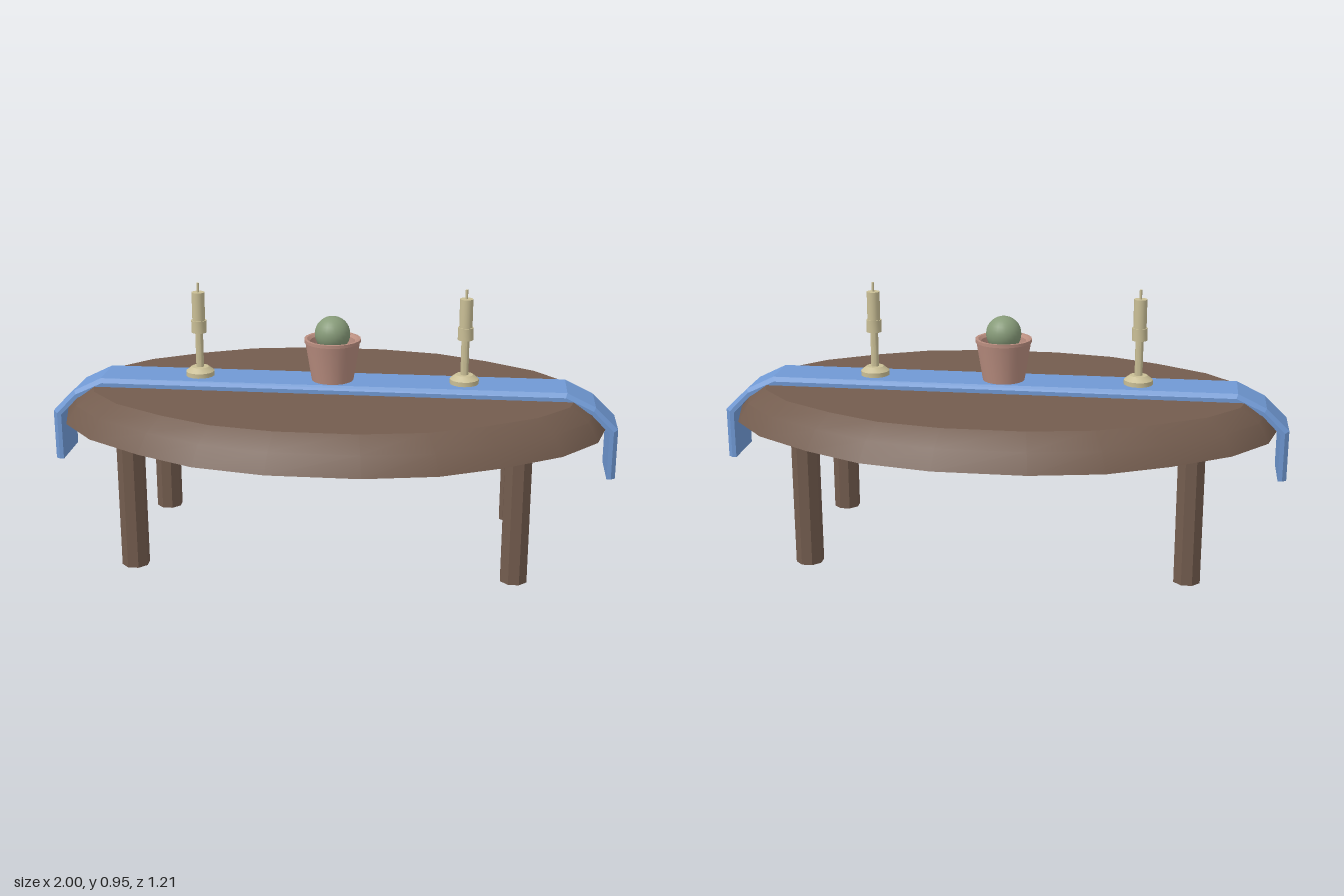
import * as THREE from 'three';
import { toCreasedNormals } from 'three/addons/utils/BufferGeometryUtils.js';

const paint = (color) => new THREE.MeshStandardMaterial({ color });
const wood = paint(0x735c4e);
const cloth = paint(0x7099d4);
const clay = paint(0xba8e80);
const leaf = paint(0x879b79);
const brass = paint(0xcabf96);

// Skins a stack of equal-length convex rings and closes both ends.
// Each ring runs anticlockwise when seen from the end of the stack.
function loft(rings, crease) {
  const n = rings[0].length;
  const pos = [];
  const tri = (...points) => points.forEach((p) => pos.push(...p));
  for (let i = 0; i < rings.length - 1; i++) {
    for (let j = 0; j < n; j++) {
      const k = (j + 1) % n;
      const a = rings[i][j], b = rings[i][k], c = rings[i + 1][k], d = rings[i + 1][j];
      tri(a, b, c);
      tri(a, c, d);
    }
  }
  const first = rings[0], last = rings[rings.length - 1];
  for (let j = 1; j < n - 1; j++) {
    tri(first[0], first[j + 1], first[j]);
    tri(last[0], last[j], last[j + 1]);
  }
  const geometry = new THREE.BufferGeometry();
  geometry.setAttribute('position', new THREE.Float32BufferAttribute(pos, 3));
  return toCreasedNormals(geometry, crease);
}

function lathe(profile, sides) {
  const points = profile.map(([r, y]) => new THREE.Vector2(r, y));
  return toCreasedNormals(new THREE.LatheGeometry(points, sides), 0.6);
}

function add(parent, name, geometry, material, x = 0, y = 0, z = 0) {
  const mesh = new THREE.Mesh(geometry, material);
  mesh.name = name;
  mesh.position.set(x, y, z);
  parent.add(mesh);
  return mesh;
}

// Faceted oval top, with two bevels rising from the wide lower edge
function tabletopGeometry() {
  const quarter = [[0.97, 0], [0.925, 0.18], [0.8, 0.33], [0.6, 0.46], [0.4, 0.556], [0.155, 0.603]];
  const back = [...quarter, ...quarter.slice().reverse().slice(0, 5).map(([x, z]) => [-x, z])];
  back.push([-0.97, 0]);
  const outline = [...back, ...back.slice(1, -1).reverse().map(([x, z]) => [x, -z])];
  const ring = (y, inset) => outline.map(([x, z]) =>
    [x * (1 - inset / 0.97), y, -z * (1 - inset / 0.603)]);
  return loft([ring(0.475, 0), ring(0.54, 0.038), ring(0.588, 0.103)], 0.5);
}

// Cloth strip folded over both ends, its long outer edges chamfered
function runnerGeometry() {
  const half = [ // outer x, y then inner x, y
    [1, 0.31, 0.97, 0.31],
    [1, 0.49, 0.97, 0.478],
    [0.92, 0.568, 0.905, 0.545],
    [0.82, 0.617, 0.81, 0.587],
  ];
  const path = [
    ...half.map(([a, b, c, d]) => [-a, b, -c, d]),
    ...half.slice().reverse(),
  ];
  const rings = path.map(([ox, oy, ix, iy]) => {
    const mx = (ox + ix) / 2, my = (oy + iy) / 2;
    return [
      [ix, iy, -0.092], [mx, my, -0.092], [ox, oy, -0.08],
      [ox, oy, 0.08], [mx, my, 0.092], [ix, iy, 0.092],
    ];
  });
  return loft(rings, 0.2);
}

// Stick with a domed foot, a socket, a candle and its wick
function candlestick(name, x) {
  const group = new THREE.Group();
  group.name = name;
  group.position.set(x, 0.615, 0);
  add(group, 'stick', lathe([
    [0, 0], [0.051, 0], [0.051, 0.018], [0.031, 0.034], [0.014, 0.034],
    [0.014, 0.16], [0.027, 0.16], [0.027, 0.204], [0, 0.204],
  ], 16), brass);
  add(group, 'candle', new THREE.CylinderGeometry(0.023, 0.023, 0.11, 16), brass, 0, 0.25);
  add(group, 'wick', new THREE.CylinderGeometry(0.0045, 0.0045, 0.04, 8), brass, 0, 0.318);
  return group;
}

export function createModel() {
  const model = new THREE.Group();
  model.name = 'diningTable';

  add(model, 'tabletop', tabletopGeometry(), wood);
  add(model, 'tableRunner', runnerGeometry(), cloth);

  // Four octagonal legs
  const leg = toCreasedNormals(new THREE.CylinderGeometry(0.0487, 0.0487, 0.48, 8)
    .rotateY(Math.PI / 8), 0.5);
  for (const [side, x] of [['Left', 0.657], ['Right', -0.67]]) {
    for (const [end, z] of [['front', 0.281], ['back', -0.273]]) {
      add(model, `${end}${side}Leg`, leg, wood, x, 0.24, z);
    }
  }

  // Hollow flower pot with a round plant
  add(model, 'plantPot', lathe([
    [0, 0.615], [0.074, 0.615], [0.097, 0.755], [0.1, 0.755], [0.1, 0.766],
    [0.09, 0.766], [0.08, 0.757], [0.072, 0.7], [0, 0.7],
  ], 20), clay);
  add(model, 'plant', new THREE.SphereGeometry(0.0625, 24, 16), leaf, 0, 0.783, 0);

  model.add(candlestick('leftCandlestick', 0.465));
  model.add(candlestick('rightCandlestick', -0.476));
  return model;
}
